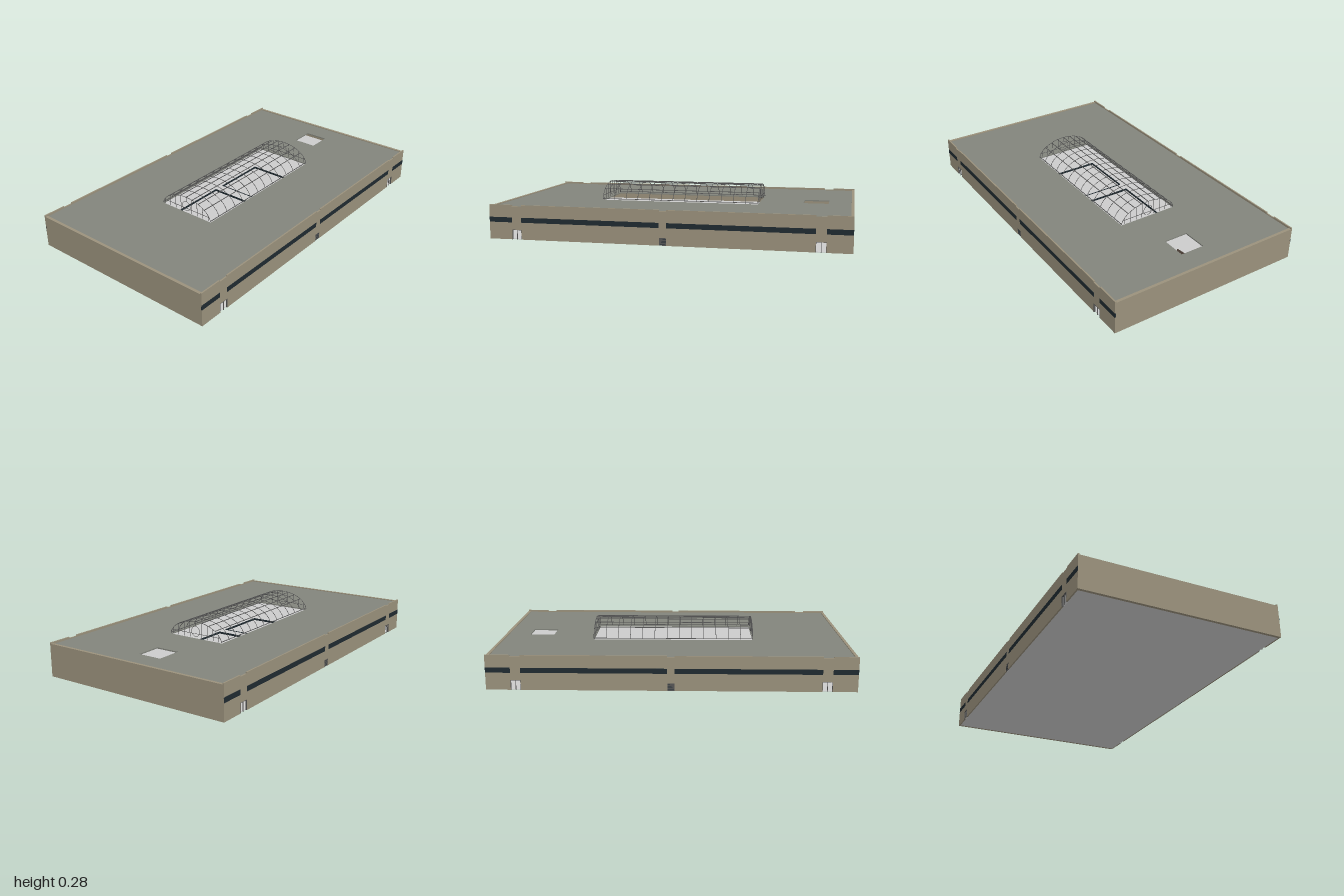
import * as THREE from 'three';

const mat = (color, side = THREE.FrontSide) => new THREE.MeshStandardMaterial({ color, side, roughness: 0.9 });
const M = {
  wall: mat(0x9a917c), roof: mat(0x82847c), glass: mat(0x1f2a30), grey: mat(0xcccccc),
  frame: mat(0x555555), star: mat(0x443830, THREE.DoubleSide),
};

function add(parent, name, geometry, material, x = 0, y = 0, z = 0) {
  const m = new THREE.Mesh(geometry, material);
  m.name = name;
  m.position.set(x, y, z);
  parent.add(m);
  return m;
}
const box = (parent, name, material, w, h, d, x, y, z) =>
  add(parent, name, new THREE.BoxGeometry(w, h, d), material, x, y, z);

const rectPath = (x0, y0, x1, y1, P = THREE.Path) => {
  const p = new P();
  p.moveTo(x0, y0);
  p.lineTo(x1, y0);
  p.lineTo(x1, y1);
  p.lineTo(x0, y1);
  p.closePath();
  return p;
};

// Horizontal slab with rectangular holes given as [x0, z0, x1, z1]
function slab(parent, name, material, w, d, y, t, holes) {
  const s = rectPath(-w / 2, -d / 2, w / 2, d / 2, THREE.Shape);
  holes.forEach(([x0, z0, x1, z1]) => s.holes.push(rectPath(x0, -z1, x1, -z0)));
  const g = new THREE.ExtrudeGeometry(s, { depth: t, bevelEnabled: false });
  g.rotateX(-Math.PI / 2);
  return add(parent, name, g, material, 0, y, 0);
}

// Long facade: wall outline with doorways and parapet notches, window bands, doors
function facade() {
  const g = new THREE.Group();
  const top = 0.194, notch = 0.187, gaps = [[-0.865, -0.81], [-0.02, 0.02], [0.81, 0.865]];
  const s = new THREE.Shape();
  s.moveTo(-1, 0);
  gaps.forEach(([a, b], i) => {
    const h = i === 1 ? 0.042 : 0.055;
    s.lineTo(a, 0);
    s.lineTo(a, h);
    s.lineTo(b, h);
    s.lineTo(b, 0);
  });
  s.lineTo(1, 0);
  s.lineTo(1, top);
  [...gaps].reverse().forEach(([a, b]) => {
    s.lineTo(b, top);
    s.lineTo(b, notch);
    s.lineTo(a, notch);
    s.lineTo(a, top);
  });
  s.lineTo(-1, top);
  s.closePath();
  const geo = new THREE.ExtrudeGeometry(s, { depth: 0.008, bevelEnabled: false });
  add(g, 'facadeWall', geo, M.wall, 0, 0, 0.571);
  // dark window bands between the doorway bays
  [[-1, -0.865], [-0.81, -0.02], [0.02, 0.81], [0.865, 1]].forEach(([a, b]) =>
    box(g, 'windowBand', M.glass, b - a, 0.028, 0.006, (a + b) / 2, 0.11, 0.577));
  // open double doorways
  [-0.8375, 0.8375].forEach((x) => {
    box(g, 'doorMullion', M.frame, 0.003, 0.055, 0.004, x, 0.0275, 0.576);
    [-1, 1].forEach((k) => box(g, 'doorJamb', M.frame, 0.002, 0.055, 0.009, x + k * 0.0265, 0.0275, 0.5755));
    box(g, 'doorHead', M.frame, 0.055, 0.002, 0.009, x, 0.054, 0.5755);
  });
  // closed service door
  box(g, 'serviceDoor', M.frame, 0.04, 0.042, 0.004, 0, 0.021, 0.575);
  for (let i = 1; i < 5; i++) box(g, 'doorSlat', M.glass, 0.04, 0.001, 0.002, 0, i * 0.0084, 0.577);
  return g;
}

// Arched skylight frame
function skylight() {
  const g = new THREE.Group();
  g.name = 'skylightFrame';
  const x0 = -0.466, x1 = 0.461, cx = (x0 + x1) / 2, len = x1 - x0, r = 0.0016;
  const base = 0.186, cy = 0.17, A = 0.18, B = 0.109;
  const arcY = (z) => cy + B * Math.sqrt(Math.max(0, 1 - (z / A) ** 2));
  const t0 = Math.asin((base - cy) / B);
  const pts = [];
  for (let i = 0; i <= 20; i++) {
    const t = t0 + ((Math.PI - 2 * t0) * i) / 20;
    pts.push(new THREE.Vector3(0, cy + B * Math.sin(t), A * Math.cos(t)));
  }
  const rib = new THREE.TubeGeometry(new THREE.CatmullRomCurve3(pts), 30, r, 5);
  for (let i = 0; i < 14; i++) add(g, 'rib', rib, M.frame, x0 + (len * i) / 13, 0, 0);
  // lengthwise bars
  for (let i = -4; i <= 4; i++) {
    const z = i * 0.0443;
    box(g, 'purlin', M.frame, len, 2 * r, 2 * r, cx, Math.max(base, arcY(z)), z);
  }
  // gable ends with a round window ring
  [x0, x1].forEach((x) => {
    for (let i = -4; i <= 4; i++) {
      const z = i * 0.04, h = arcY(z);
      if (i !== 0) box(g, 'gableBar', M.frame, 0.002, h - base, 0.002, x, (h + base) / 2, z);
    }
    box(g, 'gableBar', M.frame, 0.002, 0.028, 0.002, x, 0.265, 0);
    box(g, 'gableRail', M.frame, 0.002, 0.002, 0.34, x, 0.209, 0);
    add(g, 'gableRing', new THREE.TorusGeometry(0.029, 0.0014, 5, 28), M.frame, x, 0.222, 0).rotation.y = Math.PI / 2;
  });
  return g;
}

export function createModel() {
  const model = new THREE.Group();

  // ground slab and plain end walls
  box(model, 'groundFloor', M.grey, 1.968, 0.003, 1.142, 0, 0.0015, 0);
  [-1, 1].forEach((k) => box(model, 'endWall', M.wall, 0.016, 0.187, 1.142, k * 0.992, 0.0935, 0));

  // matching front and back facades
  const front = facade();
  front.name = 'frontFacade';
  const back = facade();
  back.name = 'backFacade';
  back.rotation.y = Math.PI;
  model.add(front, back);

  // roof with the two openings
  slab(model, 'roof', M.roof, 1.968, 1.142, 0.175, 0.007,
    [[-0.466, -0.18, 0.461, 0.178], [0.712, -0.075, 0.855, 0.067]]);

  // upper floor with two wells and a bridge between them
  const wells = [[-0.36, -0.15, -0.035, 0.15], [0.03, -0.15, 0.36, 0.15]];
  slab(model, 'upperFloor', M.grey, 1.968, 1.142, 0.084, 0.008, wells);
  wells.forEach(([a, b, c, d]) => {
    [b, d].forEach((z) => box(model, 'wellRail', M.glass, c - a, 0.012, 0.002, (a + c) / 2, 0.09, z));
    [a, c].forEach((x) => box(model, 'wellRail', M.glass, 0.002, 0.012, d - b, x, 0.09, (b + d) / 2));
  });

  // star floor inlay beneath the small opening
  const star = new THREE.Shape();
  for (let i = 0; i < 10; i++) {
    const R = i % 2 ? 0.04 : 0.084, a = Math.PI / 2 + (i * Math.PI) / 5;
    star[i ? 'lineTo' : 'moveTo'](R * Math.cos(a), R * Math.sin(a));
  }
  star.closePath();
  const starGeo = new THREE.ShapeGeometry(star);
  starGeo.rotateX(-Math.PI / 2);
  add(model, 'starInlay', starGeo, M.star, 0.785, 0.094, 0);

  model.add(skylight());
  return model;
}
